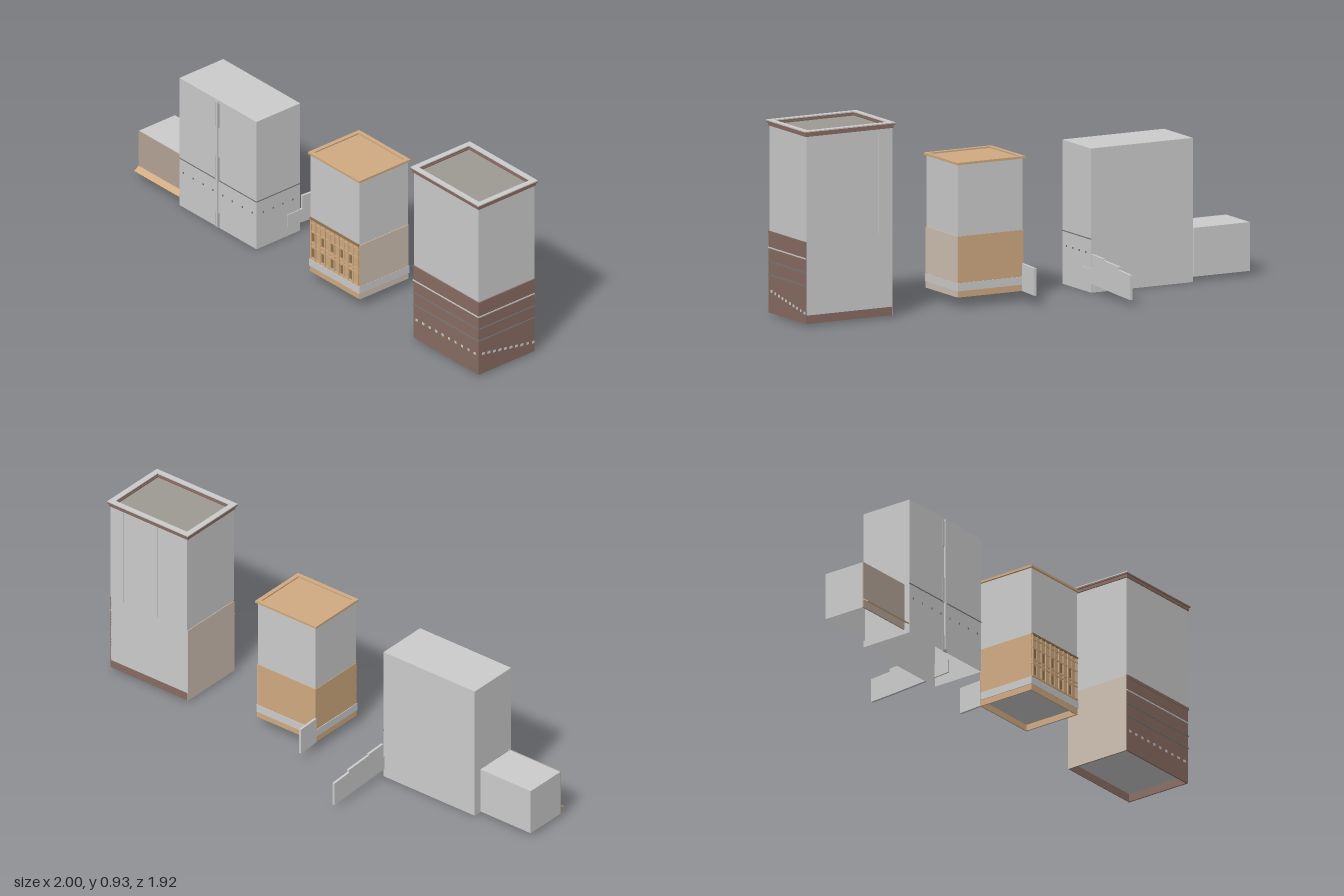
import * as THREE from 'three';

const GREY = 0xcccccc, BROWN = 0x886c62, TAN = 0xd0aa80, PALE = 0xcfc0b2, DARK = 0x777777;
const mats = {};
const mat = (color) => (mats[color] ??= new THREE.MeshStandardMaterial({ color, side: THREE.DoubleSide }));

function add(parent, name, geo, color) {
  const m = new THREE.Mesh(geo, mat(color));
  m.name = name;
  parent.add(m);
  return m;
}

// Block given by its limits: x along the street, y up, z towards the street
function block(parent, name, [x0, x1], [y0, y1], [z0, z1], color = GREY, openBottom = false) {
  const geo = new THREE.BoxGeometry(x1 - x0, y1 - y0, z1 - z0);
  if (openBottom) {
    const idx = Array.from(geo.index.array);
    idx.splice(18, 6);
    geo.setIndex(idx);
    geo.clearGroups();
  }
  geo.translate((x0 + x1) / 2, (y0 + y1) / 2, (z0 + z1) / 2);
  return add(parent, name, geo, color);
}

// Rectangular ring lying flat, used for cornices and bands round a building
function ring(parent, name, [x0, x1], [z0, z1], [y0, y1], out, inn, color) {
  const rect = (C, d) => {
    const c = new C();
    c.moveTo(x0 - d, -z0 + d);
    c.lineTo(x1 + d, -z0 + d);
    c.lineTo(x1 + d, -z1 - d);
    c.lineTo(x0 - d, -z1 - d);
    c.closePath();
    return c;
  };
  const s = rect(THREE.Shape, out);
  s.holes.push(rect(THREE.Path, -inn));
  const geo = new THREE.ExtrudeGeometry(s, { depth: y1 - y0, bevelEnabled: false });
  geo.rotateX(-Math.PI / 2).translate(0, y0, 0);
  return add(parent, name, geo, color);
}

// Thin upright wall in the plane x = const, outlined by [z, y] points
function sideWall(parent, name, x, points, color = GREY) {
  const s = new THREE.Shape(points.map(([z, y]) => new THREE.Vector2(-z, y)));
  const geo = new THREE.ExtrudeGeometry(s, { depth: 0.012, bevelEnabled: false });
  geo.rotateY(Math.PI / 2).translate(x - 0.006, 0, 0);
  return add(parent, name, geo, color);
}

function group(parent, name) {
  const g = new THREE.Group();
  g.name = name;
  parent.add(g);
  return g;
}

function tallBuilding(street) {
  const g = group(street, 'tallBuilding');
  const X = [0.722, 1.184], Z = [-0.199, 0.144];
  block(g, 'tallBody', X, [0.05, 0.905], Z);
  ring(g, 'plinth', X, Z, [0.01, 0.05], 0, 0.004, BROWN);
  // brown lower storeys on the street front and the corner side
  block(g, 'frontBase', [0.722, 1.187], [0.01, 0.395], [0.14, 0.147], BROWN);
  block(g, 'cornerBase', [1.18, 1.187], [0.01, 0.395], [-0.199, 0.147], BROWN);
  block(g, 'innerSideBase', [0.719, 0.723], [0.01, 0.395], Z, PALE);
  // string courses
  for (const [y, c] of [[0.19, DARK], [0.253, DARK], [0.32, GREY], [0.392, BROWN]]) {
    const h = y > 0.39 ? 0.007 : 0.003;
    block(g, 'frontCourse', [0.72, 1.19], [y - h, y + h], [0.14, 0.15], c);
    block(g, 'cornerCourse', [1.18, 1.19], [y - h, y + h], [-0.199, 0.15], c);
  }
  // small lamps, stepping down along the corner side
  for (let i = 0; i < 10; i++) {
    const x = 0.74 + i * 0.046, z = 0.125 - i * 0.034, y = 0.115 - i * 0.006;
    block(g, 'frontLamp', [x, x + 0.014], [0.109, 0.121], [0.144, 0.149]);
    block(g, 'cornerLamp', [1.184, 1.189], [y - 0.006, y + 0.006], [z - 0.014, z]);
  }
  // rear pilasters
  for (const p of [[0.722, 0.794], [0.9, 1.0], [1.105, 1.184]])
    block(g, 'rearPilaster', p, [0.4, 0.9], [-0.202, -0.196]);
  // cornice and sunken roof
  ring(g, 'lowerCornice', X, Z, [0.9, 0.915], 0.006, 0.02, BROWN);
  ring(g, 'upperCornice', X, Z, [0.915, 0.922], 0.012, 0.016, BROWN);
  ring(g, 'roofRim', X, Z, [0.922, 0.927], 0.012, 0.016, GREY);
  block(g, 'roof', X, [0.9, 0.908], Z, 0x9d9a92);
}

function middleBuilding(street) {
  const g = group(street, 'middleBuilding');
  const X = [-0.011, 0.337], Z = [-0.151, 0.147];
  block(g, 'middleBody', X, [0.08, 0.68], Z);
  ring(g, 'lowerCladding', X, Z, [0.05, 0.34], 0.002, 0.004, TAN);
  block(g, 'cornerCladding', [0.334, 0.341], [0.05, 0.34], Z, PALE);
  ring(g, 'greyBand', X, Z, [0.08, 0.118], 0.005, 0.001, GREY);
  // shopfront lattice of posts and rails
  for (let i = 0; i <= 10; i++) {
    const x = -0.009 + i * 0.0335;
    block(g, 'post', [x, x + 0.008], [0.12, 0.335], [0.145, 0.154], TAN);
  }
  for (const y of [0.125, 0.19, 0.21, 0.27, 0.315])
    block(g, 'rail', X, [y - 0.004, y + 0.004], [0.145, 0.153], TAN);
  for (let i = 0; i < 5; i++) for (const y of [0.135, 0.22]) {
    const x = 0.002 + i * 0.067;
    block(g, 'window', [x, x + 0.018], [y, y + 0.045], [0.145, 0.15], 0x8f7350);
  }
  block(g, 'shopCornice', X, [0.335, 0.343], [0.145, 0.156], 0x8f7350);
  // roof edge and tan roof
  ring(g, 'roofEdge', X, Z, [0.68, 0.691], 0.009, 0.012, TAN);
  block(g, 'roof', X, [0.678, 0.684], Z, TAN);
  sideWall(g, 'yardWall', -0.011, [[-0.15, 0.05], [-0.15, 0.18], [-0.268, 0.175], [-0.268, 0.045]]);
}

function longBuilding(street) {
  const g = group(street, 'longBuilding');
  const X = [-0.946, -0.397], Z = [-0.122, 0.148];
  block(g, 'longBody', X, [0, 0.685], Z, GREY, true);
  block(g, 'frontLedge', X, [0.252, 0.257], [0.146, 0.15], DARK);
  block(g, 'sideLedge', [-0.399, -0.395], [0.252, 0.257], Z, DARK);
  // drainpipe with brackets
  block(g, 'drainpipe', [-0.68, -0.668], [0.01, 0.68], [0.146, 0.156]);
  for (const [y0, y1] of [[0, 0.08], [0.25, 0.38], [0.54, 0.67]])
    block(g, 'pipeBox', [-0.69, -0.662], [y0, y1], [0.146, 0.152], 0xaaaaaa);
  // small lamps
  for (let i = 0; i < 8; i++) {
    const x = -0.92 + i * 0.07;
    block(g, 'lamp', [x, x + 0.007], [0.182, 0.19], [0.146, 0.151], DARK);
  }
  for (let i = 0; i < 4; i++) {
    const z = 0.11 - i * 0.06;
    block(g, 'sideLamp', [-0.399, -0.394], [0.182, 0.19], [z - 0.007, z], DARK);
  }
  // stepped yard wall carrying on from the side
  sideWall(g, 'yardWall', -0.398, [
    [-0.04, 0.05], [-0.04, 0.115], [-0.132, 0.115], [-0.132, 0.185], [-0.24, 0.18],
    [-0.24, 0.173], [-0.385, 0.165], [-0.385, 0.15], [-0.494, 0.142], [-0.494, 0.025], [-0.38, 0.03]]);
}

function annex(street) {
  const g = group(street, 'annex');
  block(g, 'annexBody', [-1.266, -0.963], [0.02, 0.252], [-0.1, 0.12], GREY, true);
  block(g, 'annexFront', [-1.266, -0.95], [0.02, 0.252], [0.118, 0.124], 0xb5a497);
  // sloping canopy
  const canopy = block(g, 'canopy', [-1.266, -0.95], [-0.003, 0.003], [0, 0.036], TAN);
  canopy.position.set(0, 0.064, 0.12);
  canopy.rotation.x = 0.6;
}

export function createModel() {
  const model = new THREE.Group();
  model.name = 'streetOfBuildings';
  // the whole row stands diagonally
  const street = group(model, 'street');
  street.rotation.y = -Math.PI / 4;
  tallBuilding(street);
  middleBuilding(street);
  longBuilding(street);
  annex(street);
  return model;
}
